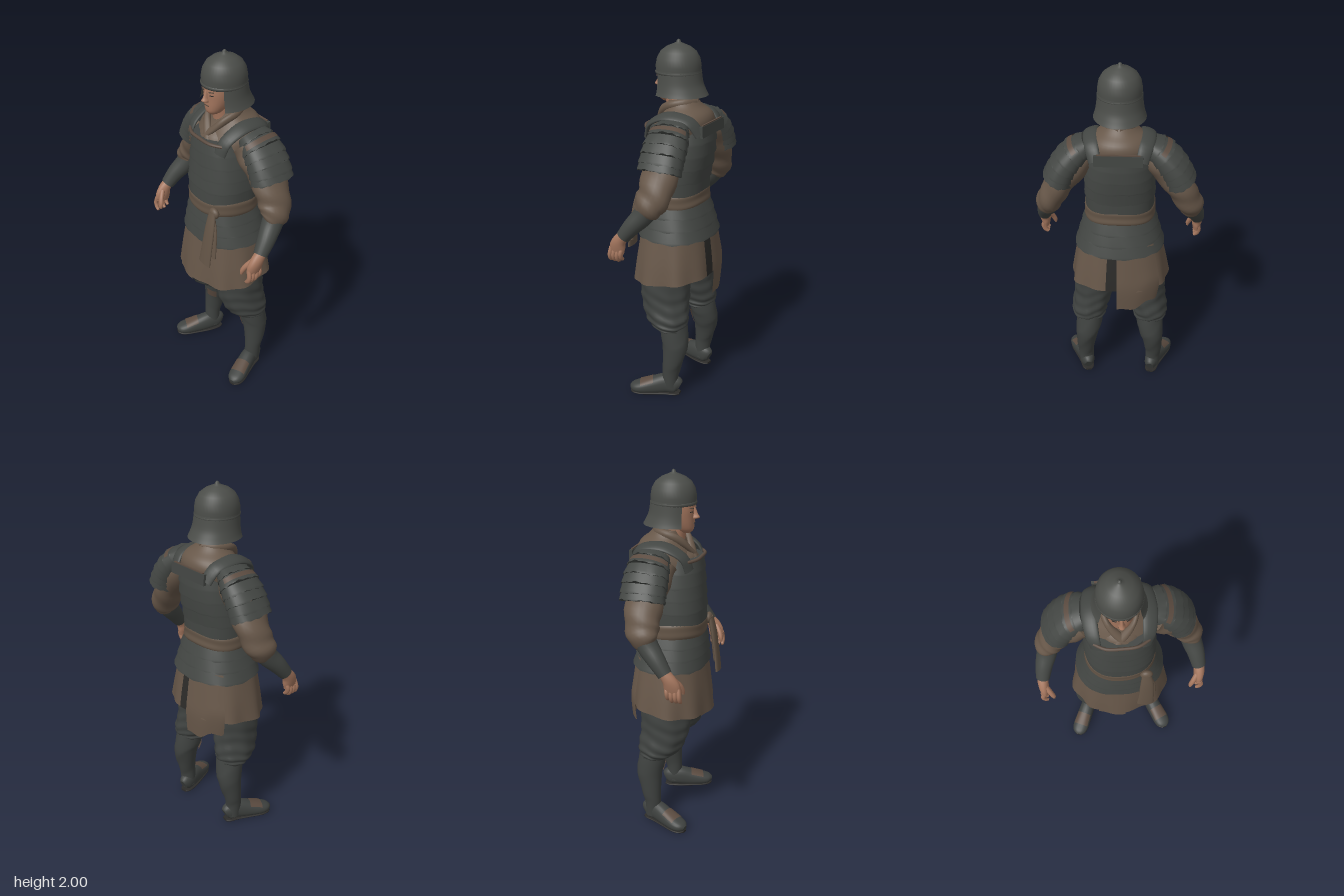
import * as THREE from 'three';

const mat = (name, color, side = THREE.FrontSide) => {
  const m = new THREE.MeshStandardMaterial({ color, side });
  m.name = name;
  return m;
};

// Catmull-Rom resampling of rings [x, y, z, radiusU, radiusV]
function smooth(rings, sub) {
  const out = [], n = rings.length;
  for (let i = 0; i < n - 1; i++) {
    const [a, b, c, d] = [rings[Math.max(i - 1, 0)], rings[i], rings[i + 1], rings[Math.min(i + 2, n - 1)]];
    for (let k = 0; k < sub; k++) {
      const t = k / sub;
      out.push(b.map((p, j) => p + 0.5 * t * (c[j] - a[j] + t * (2 * a[j] - 5 * p + 4 * c[j] - d[j]
        + t * (3 * (p - c[j]) + d[j] - a[j])))));
    }
  }
  out.push(rings[n - 1]);
  return out;
}

// Skin over elliptical cross-sections; level keeps every section horizontal
function loft(rings, { sub = 4, seg = 24, level = false, ref = [0, 0, 1], n = 2, open = false, arc = null, warp = null } = {}) {
  const R = sub > 1 ? smooth(rings, sub) : rings;
  const pos = [], idx = [], last = R.length - 1;
  const P = R.map(r => new THREE.Vector3(r[0], r[1], r[2]));
  const [a0, a1] = arc || [0, Math.PI * 2];
  const pw = c => Math.sign(c) * Math.abs(c) ** (2 / n);
  R.forEach((r, i) => {
    const t = level ? new THREE.Vector3(0, Math.sign(P[last].y - P[0].y), 0)
      : P[Math.min(i + 1, last)].clone().sub(P[Math.max(i - 1, 0)]).normalize();
    const v = new THREE.Vector3(...ref);
    v.addScaledVector(t, -v.dot(t)).normalize();
    const u = v.clone().cross(t);
    for (let j = 0; j <= seg; j++) {
      const a = a0 + (a1 - a0) * (j === seg && !arc ? 0 : j / seg);
      const p = P[i].clone().addScaledVector(u, pw(Math.cos(a)) * r[3]).addScaledVector(v, pw(Math.sin(a)) * r[4]);
      if (warp) warp(p, i / last, a, P[i]);
      pos.push(p.x, p.y, p.z);
    }
  });
  const w = seg + 1;
  for (let i = 0; i < last; i++) for (let j = 0; j < seg; j++) {
    const a = i * w + j, b = arc || j < seg - 1 ? a + 1 : i * w, c = a + w, d = b + w;
    idx.push(a, b, c, b, d, c);
  }
  if (!open && !arc) for (const i of [0, last]) {
    const base = pos.length / 3;
    pos.push(P[i].x, pos.slice(i * w * 3, (i * w + seg) * 3).reduce((s, q, k) => s + (k % 3 === 1 ? q / seg : 0), 0), P[i].z);
    for (let j = 0; j < seg; j++) pos.push(...pos.slice((i * w + j) * 3, (i * w + j) * 3 + 3));
    for (let j = 0; j < seg; j++) {
      const a = base + 1 + j, b = base + 1 + (j + 1) % seg;
      i ? idx.push(base, a, b) : idx.push(base, b, a);
    }
  }
  const g = new THREE.BufferGeometry();
  g.setAttribute('position', new THREE.Float32BufferAttribute(pos, 3));
  g.setIndex(idx);
  g.computeVertexNormals();
  return g;
}

// Linear lookup of a ring at fraction f of a list
function at(rings, f) {
  const q = Math.min(Math.max(f, 0), 1) * (rings.length - 1), i = Math.min(Math.floor(q), rings.length - 2);
  return rings[i].map((p, j) => p + (rings[i + 1][j] - p) * (q - i));
}
const grow = (r, d) => [r[0], r[1], r[2], r[3] + d, r[4] + d];
const flip = (rings, s) => rings.map(r => [r[0] * s, ...r.slice(1)]);

export function createModel() {
  const group = new THREE.Group();
  const armour = mat('armour', 0x434643), helmetMat = mat('helmet', 0x4b4d49, THREE.DoubleSide);
  const cloth = mat('cloth', 0x675749, THREE.DoubleSide), sashMat = mat('sash cloth', 0x635446);
  const trouser = mat('trousers', 0x3f4240), skin = mat('skin', 0xa4765e);
  const dark = mat('dark', 0x2c2b29, THREE.DoubleSide), leather = mat('worn leather', 0x5b4b40, THREE.DoubleSide);
  const add = (name, geo, m) => {
    const mesh = new THREE.Mesh(geo, m);
    mesh.name = name;
    group.add(mesh);
    return mesh;
  };
  const box = (name, size, p, rot, m) => {
    const b = add(name, new THREE.BoxGeometry(...size), m);
    b.position.set(...p);
    b.rotation.set(...rot);
  };

  // Overlapping armour rows, each flared at its uneven lower edge
  const rows = (name, prof, count, opts, flare) => {
    for (let k = 0; k < count; k++) {
      const lo = at(prof, k / count), mid = at(prof, (k + 0.15) / count), hi = at(prof, (k + 1.08) / count);
      add(name, loft([grow(lo, flare), grow(mid, flare), grow(hi, 0)], {
        sub: 1, seg: 56, ...opts,
        warp: (p, f, a) => { if (f === 0) p.y += 0.003 * Math.sin(a * 14 + k * 2) + 0.003 * Math.sin(a * 5 + k); }
      }), armour);
    }
  };

  // Helmet: dome with finial, rim and flared neck guard
  const lathe = pts => new THREE.LatheGeometry(pts.map(p => new THREE.Vector2(...p)), 40);
  add('helmetDome', lathe([[0.113, 1.828], [0.115, 1.865], [0.108, 1.905], [0.09, 1.938], [0.06, 1.962],
    [0.028, 1.976], [0.012, 1.984], [0.011, 1.99], [0.007, 1.996], [0, 2]]), helmetMat).scale.z = 1.06;
  add('helmetRim', lathe([[0.106, 1.826], [0.116, 1.824], [0.118, 1.834], [0.114, 1.84]]), helmetMat).scale.z = 1.06;
  add('neckGuard', loft([[0, 1.715, -0.013, 0.137, 0.15], [0, 1.74, -0.01, 0.129, 0.139], [0, 1.78, -0.004, 0.121, 0.128],
    [0, 1.845, 0, 0.115, 0.122]], { level: true, seg: 40, arc: [Math.PI / 2 + 0.92, Math.PI * 2.5 - 0.92] }), helmetMat);

  // Head and neck
  add('head', loft([[0, 1.673, 0.062, 0.022, 0.03], [0, 1.69, 0.056, 0.043, 0.052], [0, 1.72, 0.044, 0.06, 0.068],
    [0, 1.76, 0.028, 0.074, 0.085], [0, 1.8, 0.018, 0.081, 0.096], [0, 1.85, 0.008, 0.085, 0.1]], { level: true, n: 2.2 }), skin);
  add('neck', loft([[0, 1.56, 0.0, 0.065, 0.06], [0, 1.64, 0.008, 0.055, 0.055], [0, 1.73, 0.02, 0.055, 0.06]], { level: true }), skin);
  add('nose', loft([[0, 1.748, 0.112, 0.014, 0.012], [0, 1.757, 0.119, 0.018, 0.024], [0, 1.775, 0.115, 0.011, 0.018],
    [0, 1.81, 0.108, 0.008, 0.011]], { level: true, seg: 12 }), skin);
  box('mouth', [0.034, 0.004, 0.008], [0, 1.727, 0.111], [0, 0, 0], leather);
  for (const s of [1, -1]) {
    box('eye', [0.022, 0.004, 0.008], [s * 0.034, 1.789, 0.105], [0, s * 0.35, s * 0.08], dark);
    box('brow', [0.03, 0.004, 0.008], [s * 0.035, 1.808, 0.108], [0, s * 0.35, s * 0.14], leather);
  }

  // Tunic body and crossed collar
  add('tunic', loft([[0, 1.15, 0.015, 0.17, 0.14], [0, 1.4, 0, 0.17, 0.15], [0, 1.52, -0.025, 0.185, 0.152],
    [0, 1.58, -0.048, 0.18, 0.143], [0, 1.625, -0.055, 0.145, 0.122], [0, 1.66, -0.04, 0.1, 0.094],
    [0, 1.69, -0.028, 0.076, 0.078]], { level: true, seg: 36 }), cloth);
  for (const s of [1, -1]) add('collar', loft(flip([[0, 1.685, -0.1, 0.016, 0.022], [0.055, 1.682, -0.072, 0.016, 0.022],
    [0.082, 1.672, -0.01, 0.016, 0.022], [0.068, 1.645, 0.05, 0.016, 0.022], [0.03, 1.6, 0.088, 0.022, 0.016],
    [-0.03, 1.535, 0.125, 0.024, 0.014]], s), { ref: [0, 1, 0.5], seg: 12 }), cloth);
  add('chestLining', loft([[0, 1.51, 0, 0.14, 0.145], [0, 1.555, -0.005, 0.12, 0.135], [0, 1.585, -0.01, 0.09, 0.11]], { level: true }), cloth);

  // Cuirass and upright back plate
  const chest = [[0, 1.19, 0.01, 0.18, 0.162], [0, 1.28, 0.006, 0.187, 0.168], [0, 1.37, -0.008, 0.183, 0.176],
    [0, 1.46, -0.016, 0.175, 0.18], [0, 1.55, -0.02, 0.152, 0.175]];
  rows('cuirassRow', chest, 5, { level: true, n: 2.4 }, 0.007);
  add('cuirassTopEdge', loft([[0.14, 1.548, 0.118, 0.008, 0.008], [0.08, 1.55, 0.152, 0.009, 0.009], [0, 1.55, 0.157, 0.009, 0.009],
    [-0.08, 1.55, 0.152, 0.009, 0.009], [-0.14, 1.548, 0.118, 0.008, 0.008]], { ref: [0, 1, 0], seg: 10 }), leather);
  box('backPlate', [0.25, 0.06, 0.016], [0, 1.555, -0.2], [0.06, 0, 0], armour);
  box('backPlateEdge', [0.22, 0.006, 0.01], [0, 1.587, -0.198], [0.06, 0, 0], leather);

  // Waist sash with knot and hanging ends
  add('sash', loft([[0, 1.12, 0.008, 0.188, 0.165], [0, 1.138, 0.008, 0.194, 0.174], [0, 1.165, 0.01, 0.193, 0.171],
    [0, 1.192, 0.01, 0.193, 0.172], [0, 1.207, 0.01, 0.186, 0.165]], {
    level: true, seg: 48, n: 2.3, warp: (p, f, a) => { p.y += 0.007 * Math.sin(a * 3); }
  }), sashMat);
  const knot = add('sashKnot', new THREE.SphereGeometry(0.032, 16, 12), sashMat);
  knot.position.set(0.13, 1.16, 0.165);
  knot.scale.set(1.1, 1, 0.7);
  add('sashEnd', loft([[0.13, 1.17, 0.175, 0.025, 0.014], [0.133, 1.08, 0.195, 0.037, 0.014], [0.13, 0.95, 0.216, 0.043, 0.012],
    [0.124, 0.852, 0.228, 0.048, 0.012]], { seg: 16 }), sashMat);
  add('sashEnd', loft([[0.12, 1.17, 0.175, 0.018, 0.012], [0.15, 1.06, 0.186, 0.03, 0.012], [0.16, 0.9, 0.2, 0.026, 0.01]], { seg: 16 }), sashMat);

  // Armoured hip skirt and long cloth skirt
  rows('hipArmourRow', [[0, 0.945, -0.008, 0.24, 0.2], [0, 1.04, 0, 0.212, 0.185], [0, 1.135, 0.006, 0.186, 0.167]], 3, { level: true, n: 2.3 }, 0.008);
  const skirt = [[0, 0.7, 0, 0.275, 0.22], [0, 0.82, 0, 0.257, 0.207], [0, 0.98, 0, 0.226, 0.185]];
  const pleat = (p, f, a) => {
    const k = (1 - f) * 0.03 * Math.sin(a * 9) + (1 - f) * 0.015 * Math.sin(a * 5 + 1);
    p.x *= 1 + k; p.z *= 1 + k;
    p.y -= (1 - f) * p.z * 0.11;
  };
  add('clothSkirt', loft(skirt, { level: true, seg: 72, n: 2.3, open: true, warp: pleat }), cloth);
  add('skirtFrontFold', loft(skirt.map(r => grow(r, 0.008)), { level: true, n: 2.3, arc: [1.1, 1.6], warp: pleat }), cloth);
  // Open slit beside a longer flap hanging at the right of the back
  add('skirtSlit', loft(skirt.map(r => grow(r, 0.005)), { level: true, n: 2.3, arc: [4.5, 4.72], warp: pleat }), dark);
  add('skirtBackFlap', loft([[0, 0.585, 0, 0.265, 0.222], ...skirt.map(r => grow([0, r[1] + 0.02, ...r.slice(2)], 0.008))], {
    level: true, n: 2.3, arc: [4.69, 5.6],
    warp: (p, f, a) => { p.y += (1 - f) * ((a - 4.69) * 0.07 + 0.012 * Math.sin(a * 11)); }
  }), cloth);

  for (const s of [1, -1]) {
    // Shoulder strap and layered shoulder guard with lacing on top
    add('shoulderStrap', loft(flip([[0.127, 1.5, 0.125, 0.032, 0.012], [0.14, 1.57, 0.098, 0.036, 0.012], [0.15, 1.618, 0.02, 0.041, 0.013],
      [0.15, 1.628, -0.06, 0.041, 0.013], [0.138, 1.604, -0.145, 0.038, 0.013], [0.12, 1.54, -0.19, 0.034, 0.012]], s), { ref: [s * 0.35, 1, 0.1], seg: 16 }), armour);
    const shoulder = smooth(flip([[0.323, 1.376, -0.065, 0.079, 0.116], [0.291, 1.447, -0.065, 0.077, 0.117],
      [0.235, 1.523, -0.062, 0.072, 0.112], [0.165, 1.58, -0.055, 0.05, 0.088]], s), 3);
    rows('shoulderGuardRow', shoulder, 6, { n: 2.2 }, 0.006);
    add('shoulderLacing', loft([at(shoulder, 0.72), at(shoulder, 0.81)].map(r => grow(r, 0.007)),
      { sub: 1, n: 2.2, arc: s > 0 ? [Math.PI - 1.2, Math.PI + 1.2] : [-1.2, 1.2] }), leather);

    // Sleeve, bracer and hand
    add('sleeve', loft(flip([[0.16, 1.54, -0.03, 0.072, 0.1], [0.23, 1.46, -0.05, 0.082, 0.105], [0.312, 1.35, -0.06, 0.075, 0.1],
      [0.36, 1.26, -0.055, 0.071, 0.092], [0.386, 1.205, -0.035, 0.067, 0.08], [0.386, 1.175, -0.018, 0.05, 0.058]], s),
      { warp: (p, f, a, c) => { p.sub(c).multiplyScalar(1 + 0.045 * Math.sin(f * 26 + a * 2)).add(c); } }), cloth);
    add('bracer', loft(flip([[0.38, 1.23, -0.05, 0.058, 0.06], [0.394, 1.16, -0.01, 0.056, 0.056], [0.417, 1.1, 0.042, 0.048, 0.048],
      [0.432, 1.035, 0.092, 0.038, 0.038]], s)), armour);
    add('palm', loft(flip([[0.432, 1.045, 0.085, 0.031, 0.029], [0.434, 1.01, 0.113, 0.03, 0.037], [0.432, 0.975, 0.128, 0.027, 0.045],
      [0.431, 0.94, 0.134, 0.02, 0.043]], s), { seg: 16 }), skin);
    for (let k = 0; k < 4; k++) {
      const z = 0.1 + k * 0.022, low = k === 0 ? 0.012 : 0;
      add('finger', loft(flip([[0.432, 0.965, z, 0.015, 0.012], [0.444, 0.928 + low, z + 0.004, 0.014, 0.012],
        [0.435, 0.9 + low, z + 0.006, 0.013, 0.011], [0.418, 0.886 + low, z + 0.006, 0.008, 0.008]], s), { seg: 10 }), skin);
    }
    add('thumb', loft(flip([[0.422, 1.005, 0.135, 0.017, 0.015], [0.4, 0.972, 0.16, 0.015, 0.014], [0.386, 0.94, 0.172, 0.013, 0.012],
      [0.383, 0.918, 0.175, 0.007, 0.007]], s), { seg: 10 }), skin);

    // Baggy trousers gathered below the knee
    add('trouserLeg', loft(flip([[0.175, 0.405, -0.065, 0.068, 0.06], [0.178, 0.43, -0.045, 0.093, 0.092], [0.175, 0.48, -0.025, 0.102, 0.124],
      [0.153, 0.58, -0.002, 0.112, 0.138], [0.143, 0.7, 0.002, 0.118, 0.142], [0.12, 0.95, 0, 0.11, 0.14]], s), {
      level: true, seg: 40, sub: 8, warp: (p, f, a, c) => {
        const k = 1 + 0.05 * (1 - f) * Math.sin(f * 45 + 2.5 * Math.sin(a * 2)) + 0.02 * Math.sin(a * 8 + f * 6);
        p.x = c.x + (p.x - c.x) * k; p.z = c.z + (p.z - c.z) * k;
      }
    }), trouser);

    // Tall boot with worn patch, foot and sole
    const shin = flip([[0.2, 0.04, -0.06, 0.042, 0.046], [0.204, 0.12, -0.06, 0.045, 0.046], [0.203, 0.2, -0.072, 0.052, 0.057],
      [0.192, 0.3, -0.083, 0.066, 0.072], [0.181, 0.37, -0.075, 0.075, 0.078], [0.172, 0.46, -0.06, 0.076, 0.078]], s);
    add('bootShaft', loft(shin, { level: true, warp: (p, f) => { p.y += 0.008 * Math.sin(p.x * 60 + f * 20); } }), trouser);
    add('bootPatch', loft([0.62, 0.72, 0.8].map(f => grow(at(shin, f), 0.005)),
      { level: true, arc: s > 0 ? [0.6, 1.4] : [1.74, 2.54], warp: p => { p.y += 0.3 * (Math.abs(p.x) - 0.16); } }), leather);
    const foot = flip([[0.188, 0.05, -0.112, 0.022, 0.035], [0.192, 0.058, -0.09, 0.037, 0.052], [0.206, 0.062, -0.035, 0.043, 0.058],
      [0.234, 0.048, 0.03, 0.047, 0.05], [0.266, 0.035, 0.1, 0.05, 0.036], [0.28, 0.03, 0.138, 0.04, 0.026],
      [0.286, 0.025, 0.157, 0.018, 0.014]], s);
    add('foot', loft(foot, { ref: [0, 1, 0], n: 2.3, warp: p => { p.y = Math.max(p.y, 0.008); } }), trouser);
    add('sole', loft(foot.map(r => [r[0], 0.006, r[2], r[3] - 0.003, 0.006]), { ref: [0, 1, 0], n: 3 }), dark);
    add('instepPatch', loft(foot.slice(3, 5).map(r => grow(r, 0.0025)),
      { ref: [0, 1, 0], n: 2.3, arc: [0.6, 2.54] }), leather);
  }
  return group;
}
